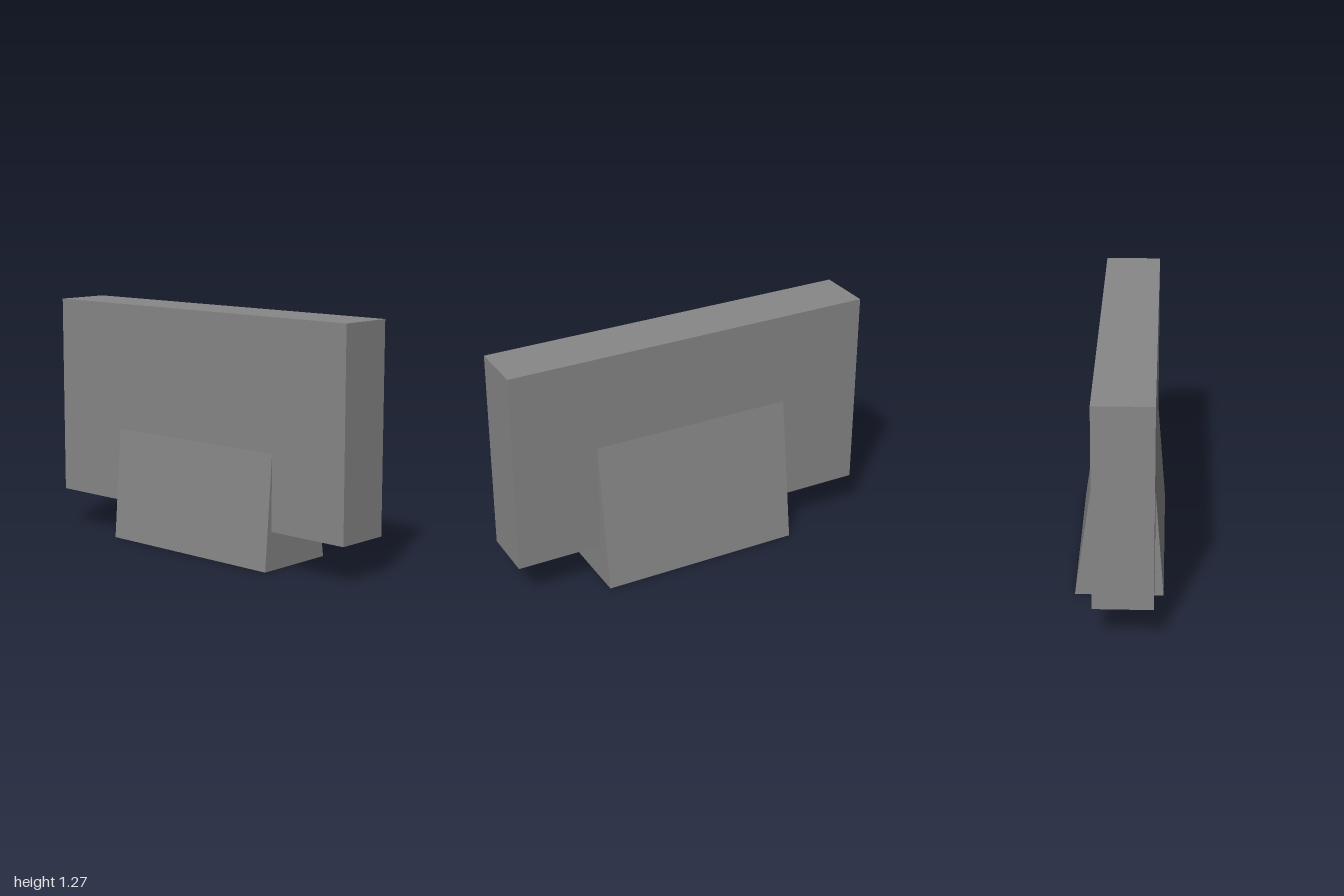
import * as THREE from 'three';

export function createModel() {
  const group = new THREE.Group();
  const material = new THREE.MeshStandardMaterial({ color: 0x878787, flatShading: true });

  // Upright rectangular panel
  const bottom = 0.2, top = 1.272, back = -0.117, front = 0.181;
  const panel = new THREE.Mesh(new THREE.BoxGeometry(2, top - bottom, front - back), material);
  panel.position.set(0, (top + bottom) / 2, (front + back) / 2);
  panel.name = 'panel';
  group.add(panel);

  // Tapered foot: side profile in (z, y), its top hidden inside the panel
  const width = 1.088;
  const profile = new THREE.Shape([
    new THREE.Vector2(-0.227, 0),
    new THREE.Vector2(0.227, 0),
    new THREE.Vector2(0.165, 0.8),
    new THREE.Vector2(-0.114, 0.8),
  ]);
  const footGeometry = new THREE.ExtrudeGeometry(profile, { depth: width, bevelEnabled: false });
  footGeometry.translate(0, 0, -width / 2).rotateY(-Math.PI / 2);
  const foot = new THREE.Mesh(footGeometry, material);
  foot.name = 'foot';
  group.add(foot);

  return group;
}
